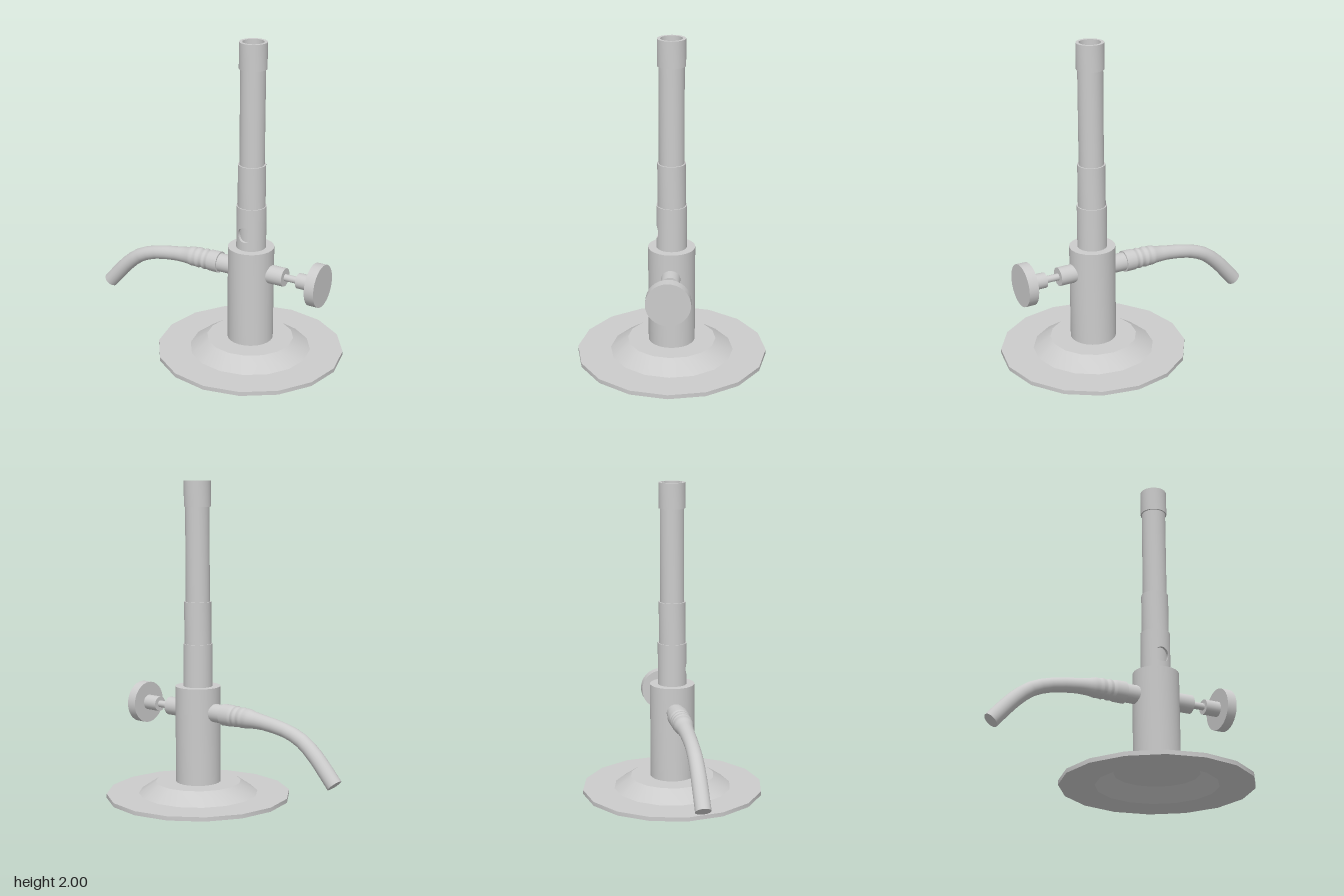
import * as THREE from 'three';
import { toCreasedNormals } from 'three/addons/utils/BufferGeometryUtils.js';
import { ParametricGeometry } from 'three/addons/geometries/ParametricGeometry.js';

const AXIS_X = 0.252; // x of the upright barrel
const PIPE_Y = 0.557; // height of the gas inlet and valve
const grey = new THREE.MeshStandardMaterial({ color: 0xcccccc });
const greyDouble = new THREE.MeshStandardMaterial({ color: 0xcccccc, side: THREE.DoubleSide });

function part(parent, name, geometry, material = grey) {
  const mesh = new THREE.Mesh(geometry, material);
  mesh.name = name;
  parent.add(mesh);
  return mesh;
}

// Turned part from [radius, height] pairs
function turned(parent, name, profile, sides) {
  const points = profile.map(([r, y]) => new THREE.Vector2(r, y));
  const mesh = part(parent, name, toCreasedNormals(new THREE.LatheGeometry(points, sides), 0.5));
  mesh.position.x = AXIS_X;
  return mesh;
}

// Round bar lying along x
function bar(parent, name, x0, x1, radius, sides = 24) {
  const geometry = new THREE.CylinderGeometry(radius, radius, x1 - x0, sides).rotateZ(Math.PI / 2);
  part(parent, name, geometry).position.set((x0 + x1) / 2, PIPE_Y, 0);
}

// Sleeve with a round air hole in its front
function addSleeve(parent) {
  const R = 0.092, LINER = 0.074, Y0 = 0.715, Y1 = 0.985, HOLE_Y = 0.817, HOLE_R = 0.048;
  const sleeve = new THREE.Group();
  sleeve.name = 'airSleeve';
  sleeve.position.x = AXIS_X;
  parent.add(sleeve);

  const back = new THREE.CylinderGeometry(R, R, Y1 - Y0, 24, 1, true, Math.PI / 4, Math.PI * 1.5);
  part(sleeve, 'sleeveWall', back, greyDouble).position.y = (Y0 + Y1) / 2;

  // Front quarter: blends from the hole's rim to the patch border, wrapped on the cylinder
  const front = new ParametricGeometry((u, v, target) => {
    const c = Math.cos(u * Math.PI * 2), s = Math.sin(u * Math.PI * 2);
    const k = 1 / Math.max(Math.abs(c), Math.abs(s));
    const rimAngle = Math.asin(HOLE_R * c / R);
    const borderY = s * k * (s > 0 ? Y1 - HOLE_Y : HOLE_Y - Y0);
    const angle = THREE.MathUtils.lerp(rimAngle, c * k * Math.PI / 4, v);
    const y = HOLE_Y + THREE.MathUtils.lerp(HOLE_R * s, borderY, v);
    target.set(R * Math.sin(angle), y, R * Math.cos(angle));
  }, 32, 5);
  // Exact radial normals keep the seam with the wall invisible
  const pos = front.attributes.position;
  for (let i = 0; i < pos.count; i++) {
    front.attributes.normal.setXYZ(i, pos.getX(i) / R, 0, pos.getZ(i) / R);
  }
  // Reverse the winding where the surface would face inward
  const a = new THREE.Vector3(), b = new THREE.Vector3(), c = new THREE.Vector3();
  const index = front.index;
  for (let i = 0; i < index.count; i += 3) {
    const [p, q, r] = [index.getX(i), index.getX(i + 1), index.getX(i + 2)];
    a.fromBufferAttribute(pos, p);
    b.fromBufferAttribute(pos, q).sub(a);
    c.fromBufferAttribute(pos, r).sub(a);
    if (b.cross(c).z < 0) { index.setX(i + 1, r); index.setX(i + 2, q); }
  }
  part(sleeve, 'sleeveFront', front, greyDouble);

  // Rim of the hole, down to the inner tube
  const rim = new ParametricGeometry((u, v, target) => {
    const x = HOLE_R * Math.cos(u * Math.PI * 2), y = HOLE_R * Math.sin(u * Math.PI * 2);
    const r = THREE.MathUtils.lerp(R, LINER, v);
    target.set(x, HOLE_Y + y, Math.sqrt(r * r - x * x));
  }, 32, 1);
  part(sleeve, 'airHoleRim', rim, greyDouble);

  const liner = new THREE.CylinderGeometry(LINER, LINER, Y1 - Y0, 24, 1, true);
  part(sleeve, 'innerTube', liner).position.y = (Y0 + Y1) / 2;
}

// Drooping hose: stations of [x, y, radius], with ribs at the fitting
function addHose(parent) {
  const hose = new THREE.Group();
  hose.name = 'hose';
  parent.add(hose);
  const stations = [
    [0.035, 0.557, 0.068], [-0.03, 0.557, 0.067], [-0.05, 0.557, 0.06], [-0.068, 0.557, 0.066],
    [-0.09, 0.557, 0.059], [-0.115, 0.557, 0.065], [-0.135, 0.556, 0.061], [-0.16, 0.556, 0.062],
    [-0.2, 0.553, 0.053], [-0.28, 0.547, 0.046], [-0.44, 0.522, 0.043], [-0.565, 0.475, 0.045],
    [-0.665, 0.395, 0.047], [-0.735, 0.32, 0.048], [-0.802, 0.243, 0.048],
  ];
  const last = stations.length - 1;
  const curve = new THREE.CatmullRomCurve3(stations.map(([x, y]) => new THREE.Vector3(x, y, 0)));
  const skin = new ParametricGeometry((u, v, target) => {
    const t = curve.getTangent(v), f = v * last, i = Math.min(Math.floor(f), last - 1);
    const r = THREE.MathUtils.lerp(stations[i][2], stations[i + 1][2], f - i);
    const c = Math.cos(u * Math.PI * 2) * r, s = Math.sin(u * Math.PI * 2) * r;
    curve.getPoint(v, target);
    target.x -= t.y * c;
    target.y += t.x * c;
    target.z += s;
  }, 20, last * 2);
  part(hose, 'hoseSkin', skin, greyDouble);
  [0, 1].forEach((end) => {
    const cap = part(hose, 'hoseEnd', new THREE.CircleGeometry(stations[end * last][2], 20), greyDouble);
    const p = curve.getPoint(end);
    cap.position.copy(p);
    cap.lookAt(p.clone().addScaledVector(curve.getTangent(end), end ? 1 : -1));
  });
}

export function createModel() {
  const model = new THREE.Group();
  model.name = 'gasBurner';

  // Dished foot, hollow underneath
  turned(model, 'base', [
    [0, 0.08], [0.26, 0.08], [0.37, 0.004], [0.585, 0], [0.585, 0.026],
    [0.38, 0.026], [0.272, 0.1], [0, 0.1],
  ], 16);
  turned(model, 'body', [[0.143, 0.095], [0.143, 0.715], [0, 0.715]], 24);

  // Barrel with collar, mouth ring and open bore
  turned(model, 'barrel', [
    [0.092, 0.985], [0.085, 0.985], [0.085, 1.25], [0.076, 1.25], [0.076, 1.84],
    [0.084, 1.84], [0.084, 2], [0.065, 2], [0.065, 0.715], [0, 0.715],
  ], 24);
  // Top and underside ledges of the barrel steps
  const ledge = new THREE.RingGeometry(0.07, 0.092, 24).rotateX(-Math.PI / 2);
  part(model, 'sleeveLedge', ledge, greyDouble).position.set(AXIS_X, 0.985, 0);
  addSleeve(model);

  // Needle valve on the left side
  bar(model, 'valveStub', 0.3, 0.49, 0.058);
  bar(model, 'valveStem', 0.48, 0.59, 0.022, 16);
  bar(model, 'knobHub', 0.58, 0.685, 0.048);
  bar(model, 'knob', 0.68, 0.742, 0.133, 32);

  // Gas inlet on the right side
  bar(model, 'inletStub', 0.0, 0.2, 0.058);
  addHose(model);
  return model;
}
